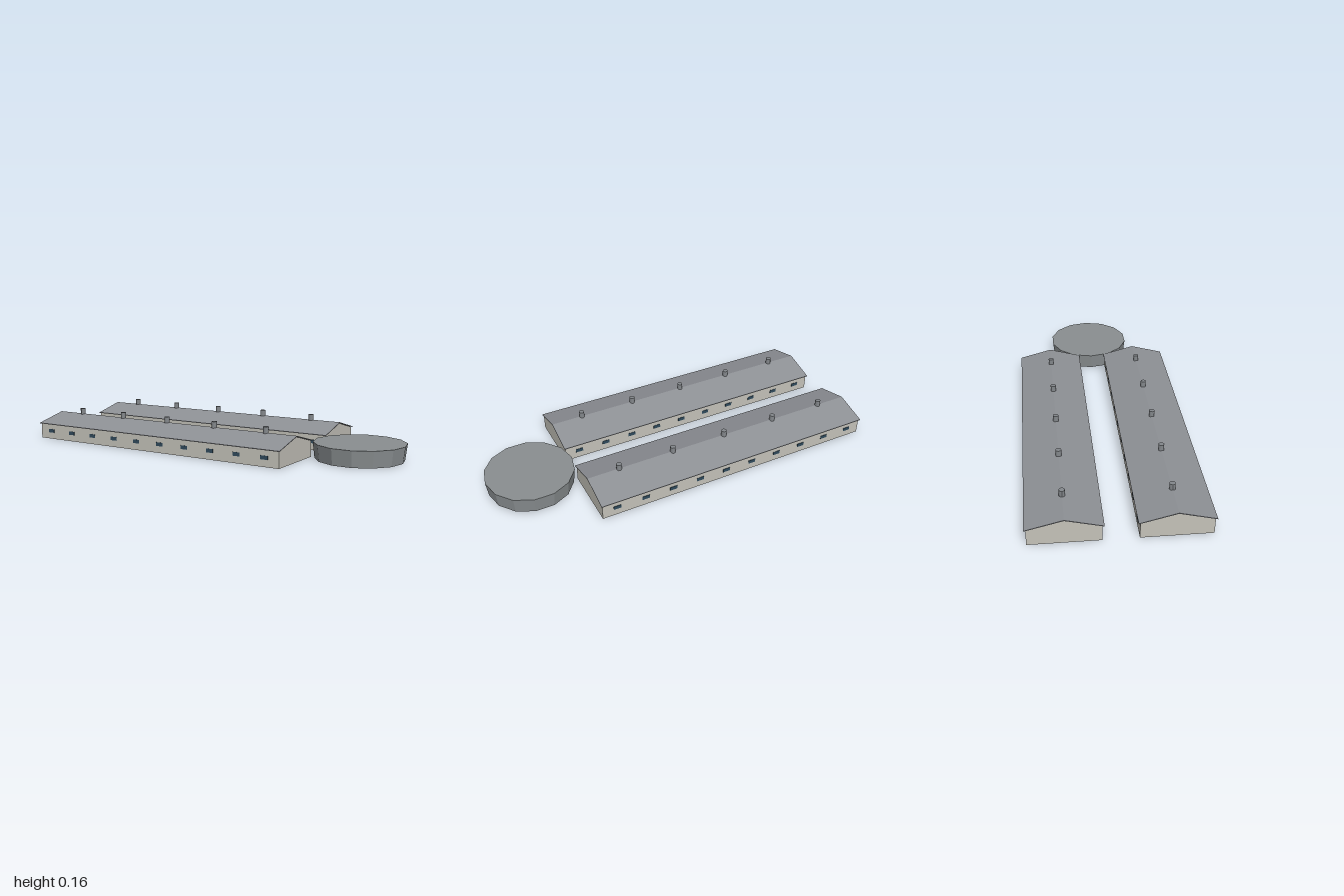
import * as THREE from 'three';

const mat = (name, color, side = THREE.FrontSide) => {
  const m = new THREE.MeshStandardMaterial({ color, side, flatShading: true });
  m.name = name;
  return m;
};

// Extrudes a cross-section of [z, y] points along x, between x0 and x1
function extrudeAlongX(points, x0, x1) {
  const shape = new THREE.Shape(points.map(([a, b]) => new THREE.Vector2(a, b)));
  return new THREE.ExtrudeGeometry(shape, { depth: x1 - x0, bevelEnabled: false })
    .rotateY(Math.PI / 2).translate(x0, 0, 0);
}

// Removes the triangles lying on the ground, leaving the shell open below
function openBelow(geometry) {
  const g = geometry.index ? geometry.toNonIndexed() : geometry;
  const p = g.attributes.position;
  const kept = [];
  for (let i = 0; i < p.count; i += 3) {
    if (Math.max(p.getY(i), p.getY(i + 1), p.getY(i + 2)) < 1e-4) continue;
    for (let k = i; k < i + 3; k++) kept.push(p.getX(k), p.getY(k), p.getZ(k));
  }
  const out = new THREE.BufferGeometry();
  out.setAttribute('position', new THREE.Float32BufferAttribute(kept, 3));
  out.computeVertexNormals();
  return out;
}

export function createModel() {
  const wallMat = mat('wall concrete', 0xc4c2b9, THREE.DoubleSide);
  const roofMat = mat('roof sheet', 0x8e9196);
  const tankMat = mat('tank grey', 0x8a8f91, THREE.DoubleSide);
  const ventMat = mat('vent grey', 0x84888c);
  const glassMat = mat('window glass', 0x2f4a5c);

  const model = new THREE.Group();
  model.name = 'livestockBarns';
  const add = (parent, name, geometry, material, x = 0, y = 0, z = 0) => {
    const mesh = new THREE.Mesh(geometry, material);
    mesh.name = name;
    mesh.position.set(x, y, z);
    parent.add(mesh);
  };

  // Shared barn geometry, centred on z = 0
  const half = 0.166, eave = 0.082, ridge = 0.126;
  const wallGeo = openBelow(extrudeAlongX(
    [[-half, 0], [half, 0], [half, eave], [0, ridge], [-half, eave]], -0.994, 0.546));
  const roofGeo = extrudeAlongX(
    [[-0.174, 0.082], [0, 0.127], [0.174, 0.082], [0.174, 0.085], [0, 0.131], [-0.174, 0.085]], -1, 0.552);
  const ventGeo = new THREE.CylinderGeometry(0.014, 0.014, 0.044, 12);
  const windowGeo = new THREE.BoxGeometry(0.04, 0.019, 0.004);

  for (const side of [1, -1]) {
    const barn = new THREE.Group();
    barn.name = side > 0 ? 'frontBarn' : 'backBarn';
    barn.position.z = side * 0.248;
    model.add(barn);
    add(barn, 'walls', wallGeo, wallMat);
    add(barn, 'roof', roofGeo, roofMat);

    // Row of ridge vents
    for (let i = 0; i < 5; i++) add(barn, 'ridgeVent', ventGeo, ventMat, -0.829 + i * 0.3025, 0.139, 0);

    // Windows along both long walls
    for (let i = 0; i < 10; i++)
      for (const s of [1, -1]) add(barn, 'window', windowGeo, glassMat, -0.915 + i * 0.1536, 0.045, s * half);
  }

  // Slurry tank, open below and slightly wider at the top
  const tankGeo = openBelow(new THREE.CylinderGeometry(0.23, 0.22, 0.083, 14, 1, false, Math.PI / 14)
    .translate(0, 0.0415, 0));
  add(model, 'slurryTank', tankGeo, tankMat, 0.77, 0, 0);

  return model;
}
